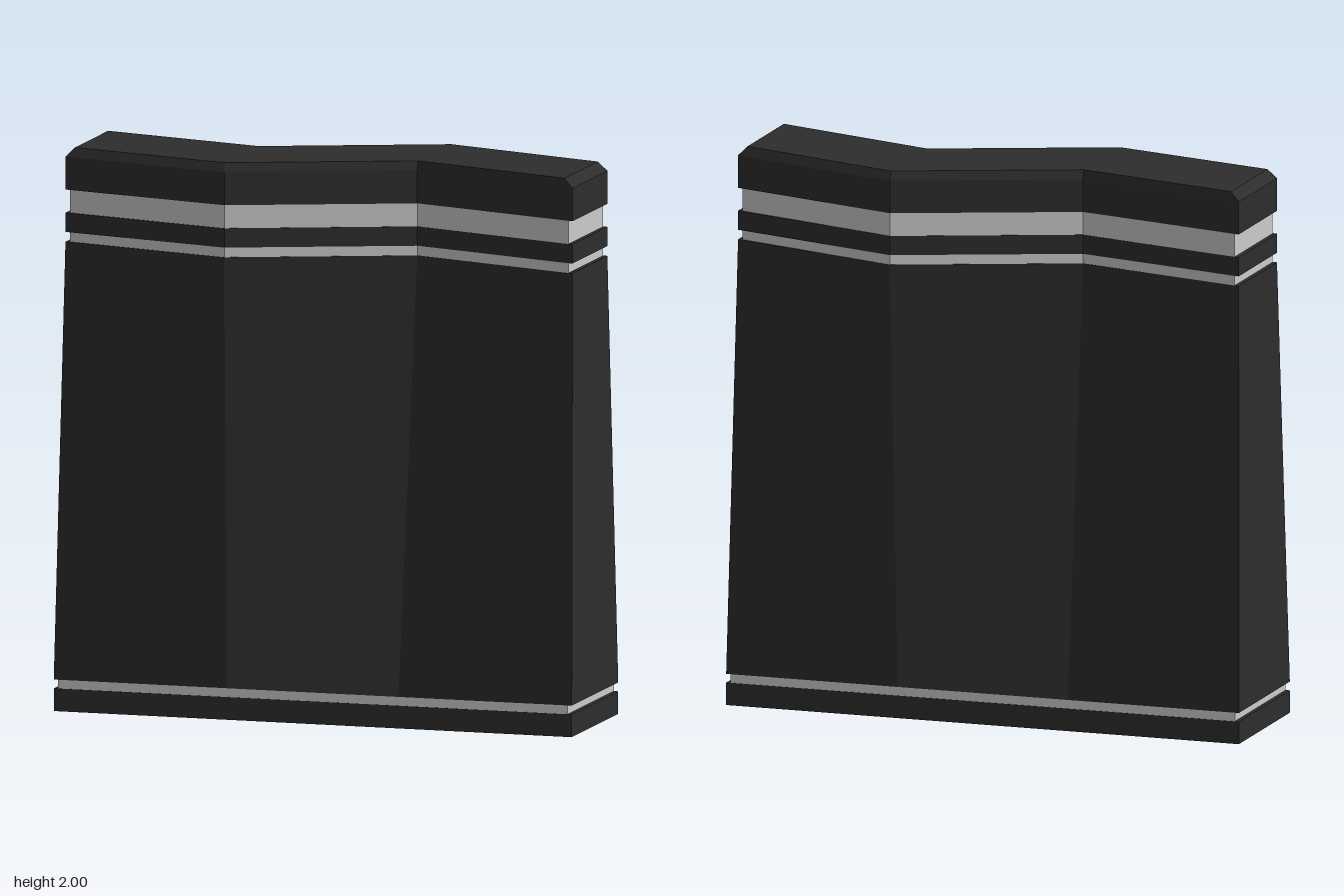
import * as THREE from 'three';

const dark = new THREE.MeshStandardMaterial({ color: 0x2d2d2d });
const grey = new THREE.MeshStandardMaterial({ color: 0xcccccc });

// Plan outlines: x stations with front and back z
const X = [-0.962, -0.32, 0.318, 0.962];
const STRAIGHT = { front: [0.301, 0.301, 0.301, 0.301], back: [-0.243, -0.243, -0.243, -0.243] };
const FOLDED = { front: [0.164, 0.327, 0.08, 0.292], back: [-0.244, -0.081, -0.328, -0.116] };

// Closed ring at height y: along the front, then back along the rear
function ring(plan, y, insetX = 0, insetZ = 0) {
  const xs = X.map((x, i) => (i === 0 ? x + insetX : i === 3 ? x - insetX : x));
  const front = xs.map((x, i) => new THREE.Vector3(x, y, plan.front[i] - insetZ));
  const back = xs.map((x, i) => new THREE.Vector3(x, y, plan.back[i] + insetZ));
  return [...front, ...back.reverse()];
}

// Solid lofted through the rings from bottom to top, with both ends closed
function loft(name, material, rings) {
  const pos = [], nor = [];
  // Each panel is split along a-c and shaded with one normal
  const quad = (a, b, c, d) => {
    const n = c.clone().sub(a).cross(d.clone().sub(b)).normalize();
    for (const p of [a, b, c, a, c, d]) {
      pos.push(p.x, p.y, p.z);
      nor.push(n.x, n.y, n.z);
    }
  };
  for (let r = 0; r < rings.length - 1; r++) {
    const lo = rings[r], hi = rings[r + 1];
    for (let i = 0; i < 8; i++) {
      const j = (i + 1) % 8;
      quad(lo[j], hi[j], hi[i], lo[i]);
    }
  }
  const bottom = rings[0], top = rings[rings.length - 1];
  for (let i = 0; i < 3; i++) {
    quad(top[i], top[i + 1], top[6 - i], top[7 - i]);
    quad(bottom[7 - i], bottom[6 - i], bottom[i + 1], bottom[i]);
  }
  const geometry = new THREE.BufferGeometry();
  geometry.setAttribute('position', new THREE.Float32BufferAttribute(pos, 3));
  geometry.setAttribute('normal', new THREE.Float32BufferAttribute(nor, 3));
  const mesh = new THREE.Mesh(geometry, material);
  mesh.name = name;
  return mesh;
}

// Straight-sided layer; recessed layers sit slightly inside the outline
function layer(name, material, plan, y0, y1, recessed = false) {
  const ix = recessed ? 0.016 : 0, iz = recessed ? 0.002 : 0;
  return loft(name, material, [ring(plan, y0, ix, iz), ring(plan, y1, ix, iz)]);
}

export function createModel() {
  const group = new THREE.Group();
  group.name = 'foldedPanel';
  group.add(
    layer('basePlinth', dark, STRAIGHT, 0, 0.081),
    layer('lowerBand', grey, STRAIGHT, 0.081, 0.113, true),
    // Body changes from a straight foot to a zigzag head
    loft('body', dark, [ring(STRAIGHT, 0.113), ring(FOLDED, 1.662)]),
    layer('middleBand', grey, FOLDED, 1.662, 1.697, true),
    layer('upperStrip', dark, FOLDED, 1.697, 1.766),
    layer('upperBand', grey, FOLDED, 1.766, 1.849, true),
    // Cap with bevelled top edges
    loft('cap', dark, [ring(FOLDED, 1.849), ring(FOLDED, 1.967), ring(FOLDED, 2, 0.032, 0.01)]),
  );
  return group;
}
